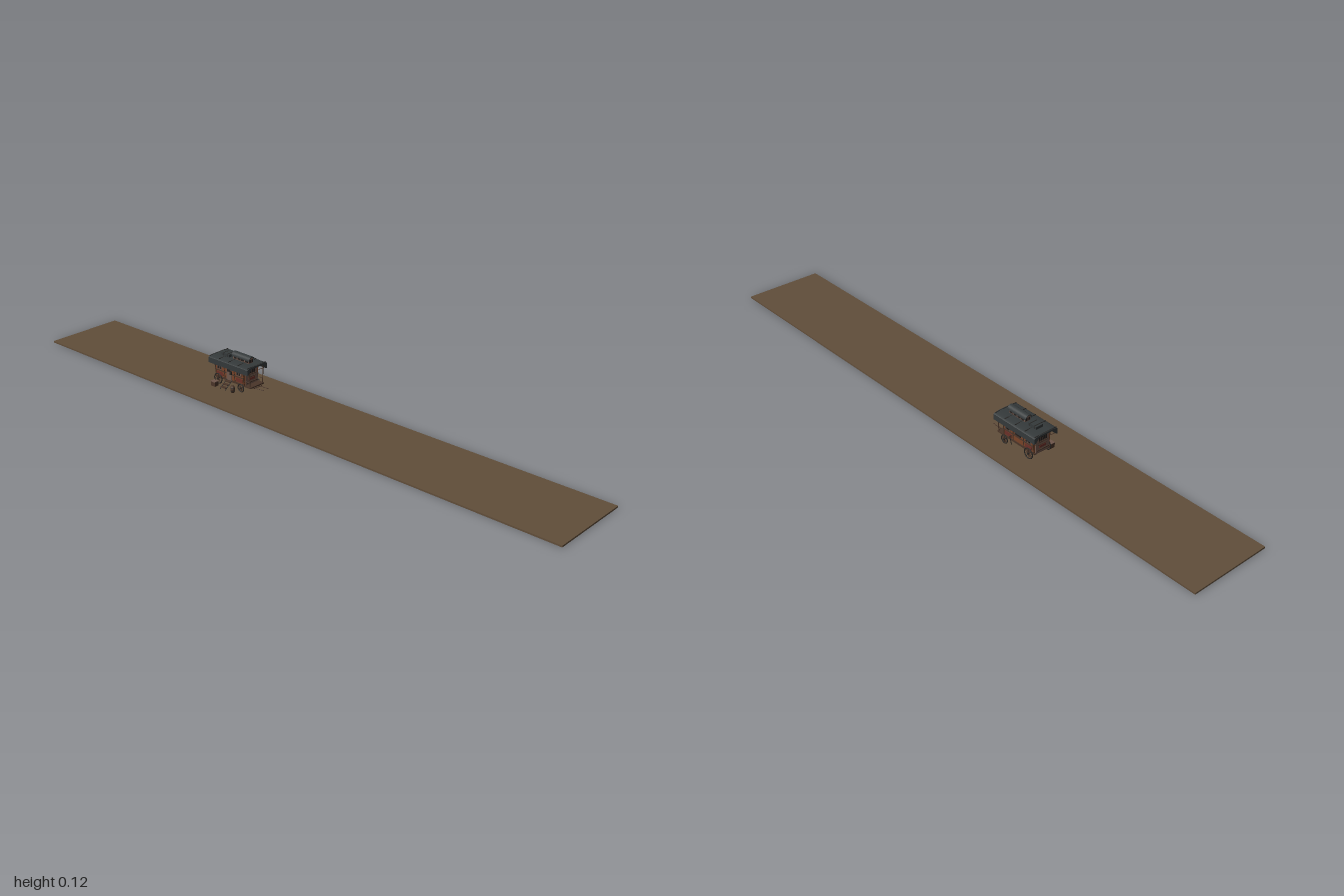
import * as THREE from 'three';

const mat = (name, color, side = THREE.FrontSide) => {
  const m = new THREE.MeshStandardMaterial({ color, side });
  m.name = name;
  return m;
};

export function createModel() {
  const earth = mat('earth', 0x614e3a);
  const slate = mat('slate roof', 0x34393a);
  const iron = mat('iron', 0x282624);
  const darkWood = mat('dark wood', 0x4a3529);
  const rust = mat('rust wood', 0x7c4529);
  const panel = mat('faded panel', 0x6f564b);
  const red = mat('red trim', 0x6b3028);
  const glass = mat('dark window', 0x241f1d);

  const model = new THREE.Group();
  const wagon = new THREE.Group();
  wagon.name = 'wagon';
  wagon.position.set(0.026, 0.005, -0.27);

  const add = (name, geo, m, x = 0, y = 0, z = 0, parent = wagon) => {
    const mesh = new THREE.Mesh(geo, m);
    mesh.name = name;
    mesh.position.set(x, y, z);
    parent.add(mesh);
    return mesh;
  };
  const box = (name, m, w, h, d, x, y, z, parent) =>
    add(name, new THREE.BoxGeometry(w, h, d), m, x, y, z, parent);

  // Thin rod between two points
  const rod = (name, m, a, b, r = 0.001) => {
    const p = new THREE.Vector3(...a), q = new THREE.Vector3(...b);
    const mesh = add(name, new THREE.CylinderGeometry(r, r, p.distanceTo(q), 6), m);
    mesh.position.copy(p).add(q).multiplyScalar(0.5);
    mesh.quaternion.setFromUnitVectors(new THREE.Vector3(0, 1, 0), q.sub(p).normalize());
    return mesh;
  };

  // Wall outline with an arched top, extruded along z
  const arched = (w, y0, yEave, yTop, depth) => {
    const s = new THREE.Shape();
    s.moveTo(-w / 2, y0);
    s.lineTo(w / 2, y0);
    s.lineTo(w / 2, yEave);
    s.quadraticCurveTo(w / 2, yTop, 0, yTop);
    s.quadraticCurveTo(-w / 2, yTop, -w / 2, yEave);
    return new THREE.ExtrudeGeometry(s, { depth, bevelEnabled: false, curveSegments: 6 });
  };

  // Road slab
  box('road', earth, 0.27, 0.005, 2, 0, 0.0025, 0, model);

  // Body, flaring out towards the eaves
  const bodyGeo = new THREE.BoxGeometry(0.066, 0.056, 0.125);
  const pos = bodyGeo.attributes.position;
  for (let i = 0; i < pos.count; i++) if (pos.getY(i) < 0) pos.setX(i, pos.getX(i) * 0.87);
  bodyGeo.computeVertexNormals();
  add('body', bodyGeo, rust, 0, 0.048, -0.008);
  box('floor', darkWood, 0.06, 0.004, 0.155, 0, 0.021, 0.004);

  // End walls with arched tops
  for (const [name, z] of [['frontWall', 0.055], ['backWall', -0.074]])
    add(name, arched(0.05, 0.02, 0.07, 0.089, 0.003), panel, 0, 0, z);
  for (const s of [1, -1]) {
    const z = s > 0 ? 0.0585 : -0.0745;
    for (const x of [-0.012, -0.004, 0.004, 0.012])
      box('endWindow', glass, 0.006, 0.015, 0.001, x, 0.066, z);
    box('endSill', darkWood, 0.036, 0.002, 0.003, 0, 0.056, z);
    box('endLowerPanel', darkWood, 0.032, 0.002, 0.002, 0, 0.047, z);
    box('endLowerPanel', red, 0.026, 0.008, 0.001, 0, 0.04, z);
    box('endRail', darkWood, 0.046, 0.003, 0.003, 0, 0.03, z);
  }

  // Main roof with low crown and hanging eaves
  const roof = new THREE.Shape();
  roof.moveTo(-0.044, 0.067);
  roof.lineTo(-0.044, 0.085);
  roof.quadraticCurveTo(-0.04, 0.089, -0.02, 0.09);
  roof.lineTo(0.02, 0.09);
  roof.quadraticCurveTo(0.04, 0.089, 0.044, 0.085);
  roof.lineTo(0.044, 0.067);
  roof.lineTo(0.038, 0.069);
  roof.lineTo(0.025, 0.084);
  roof.lineTo(-0.025, 0.084);
  roof.lineTo(-0.038, 0.069);
  add('roof', new THREE.ExtrudeGeometry(roof, { depth: 0.17, bevelEnabled: false }), slate, 0, 0, -0.087);
  for (let i = 0; i < 5; i++)
    box('roofRib', iron, 0.082, 0.0015, 0.002, 0, 0.0895, -0.084 + i * 0.041);

  // Raised skylight with curved top
  add('skylight', arched(0.02, 0.088, 0.1, 0.108, 0.068), panel, 0, 0, -0.012);
  const cap = new THREE.Shape();
  cap.absarc(0, 0.099, 0.013, 0, Math.PI, false);
  cap.absarc(0, 0.099, 0.0105, Math.PI, 0, true);
  add('skylightRoof', new THREE.ExtrudeGeometry(cap, { depth: 0.076, bevelEnabled: false, curveSegments: 10 }),
    slate, 0, 0, -0.016);
  for (const x of [-0.006, 0, 0.006])
    for (const z of [-0.0125, 0.0565]) box('skylightPane', glass, 0.004, 0.009, 0.001, x, 0.097, z);
  for (const s of [-1, 1])
    for (let i = 0; i < 4; i++)
      box('skylightPane', glass, 0.001, 0.006, 0.012, s * 0.0102, 0.095, -0.002 + i * 0.016);
  box('roofTrunk', slate, 0.026, 0.01, 0.034, 0, 0.094, -0.043);
  for (const z of [-0.052, -0.034]) box('trunkStrap', iron, 0.027, 0.011, 0.002, 0, 0.094, z);

  // Side posts, rails and windows
  for (const s of [-1, 1]) {
    for (const z of [-0.069, -0.03, 0.014, 0.053])
      rod('sidePost', darkWood, [s * 0.029, 0.02, z], [s * 0.0338, 0.076, z], 0.0015);
    box('sideRail', darkWood, 0.003, 0.003, 0.125, s * 0.0315, 0.046, -0.008);
    box('sideSill', darkWood, 0.003, 0.004, 0.126, s * 0.0295, 0.024, -0.008);
    for (const z of [-0.05, 0.034]) {
      box('windowFrame', panel, 0.002, 0.019, 0.021, s * 0.0328, 0.06, z);
      box('sideWindow', glass, 0.0025, 0.015, 0.007, s * 0.0332, 0.06, z - 0.0045);
      box('sideWindow', glass, 0.0025, 0.015, 0.007, s * 0.0332, 0.06, z + 0.0045);
      box('sideLowerPanel', red, 0.001, 0.012, 0.026, s * 0.0308, 0.035, z);
    }
    // Porch posts and eave brackets
    rod('porchPost', darkWood, [s * 0.027, 0.02, 0.078], [s * 0.031, 0.078, 0.078], 0.0014);
    rod('eaveBracket', darkWood, [s * 0.033, 0.058, 0.055], [s * 0.036, 0.07, 0.077]);
    rod('eaveBracket', darkWood, [s * 0.033, 0.058, -0.07], [s * 0.036, 0.07, -0.084]);
    rod('porchRail', darkWood, [s * 0.028, 0.038, 0.056], [s * 0.028, 0.038, 0.078]);
  }
  box('sideWindow', glass, 0.002, 0.018, 0.024, 0.0329, 0.06, -0.008);
  box('door', panel, 0.002, 0.046, 0.022, -0.0328, 0.048, -0.008);
  box('doorWindow', glass, 0.002, 0.014, 0.014, -0.0334, 0.06, -0.008);

  // Spoked wheels, axles and springs
  const wheel = (x, z, r) => {
    const g = new THREE.Group();
    g.name = 'wheel';
    g.position.set(x, r, z);
    g.rotation.y = Math.PI / 2;
    add('rim', new THREE.TorusGeometry(r - 0.0017, 0.0017, 6, 20), iron, 0, 0, 0, g);
    const hub = add('hub', new THREE.CylinderGeometry(0.003, 0.003, 0.007, 8), iron, 0, 0, 0, g);
    hub.rotation.x = Math.PI / 2;
    for (let i = 0; i < 5; i++) {
      const spoke = box('spokes', darkWood, 0.0015, 2 * r - 0.004, 0.0015, 0, 0, 0, g);
      spoke.rotation.z = i * Math.PI / 5;
    }
    wagon.add(g);
  };
  for (const [z, r] of [[0.045, 0.014], [-0.055, 0.018]]) {
    for (const s of [-1, 1]) {
      wheel(s * 0.035, z, r);
      box('spring', iron, 0.003, 0.004, 0.026, s * 0.022, 0.018, z);
    }
    rod('axle', iron, [-0.035, r, z], [0.035, r, z], 0.0016);
  }
  box('chassisBeam', darkWood, 0.006, 0.004, 0.12, 0, 0.016, -0.005);

  // Shafts for the draught animal
  for (const s of [-1, 1]) rod('shaft', darkWood, [s * 0.014, 0.016, 0.05], [s * 0.01, 0.019, 0.12], 0.0012);
  rod('shaftCrossbar', darkWood, [-0.018, 0.017, 0.083], [0.018, 0.017, 0.083], 0.0012);

  // Door steps on the right side
  for (let i = 0; i < 3; i++)
    box('step', darkWood, 0.009, 0.0025, 0.022, -0.038 - i * 0.009, 0.022 - i * 0.007, -0.008);
  for (const z of [-0.019, 0.003])
    rod('stepStringer', iron, [-0.032, 0.025, z], [-0.063, 0.002, z], 0.0013);

  // Goods beside the wagon
  box('crate', darkWood, 0.016, 0.014, 0.018, -0.053, 0.007, -0.053);
  box('crateLid', panel, 0.017, 0.002, 0.019, -0.053, 0.015, -0.053);
  add('barrel', new THREE.LatheGeometry([[0, 0], [0.006, 0], [0.0075, 0.01], [0.006, 0.02], [0, 0.02]]
    .map(p => new THREE.Vector2(...p)), 12), darkWood, -0.052, 0, 0.026);
  for (const y of [0.005, 0.015])
    add('barrelHoop', new THREE.CylinderGeometry(0.0074, 0.0074, 0.0015, 12), iron, -0.052, y, 0.026);

  // Lantern by the door and brake lever on the left side
  rod('lanternArm', iron, [-0.032, 0.064, 0.012], [-0.046, 0.064, 0.012], 0.0008);
  box('lantern', iron, 0.005, 0.009, 0.005, -0.045, 0.057, 0.012);
  rod('brakeLever', iron, [0.038, 0.014, 0.012], [0.038, 0.038, 0.02], 0.0012);
  rod('brakeHandle', iron, [0.032, 0.038, 0.02], [0.039, 0.038, 0.02], 0.0012);

  model.add(wagon);
  return model;
}
